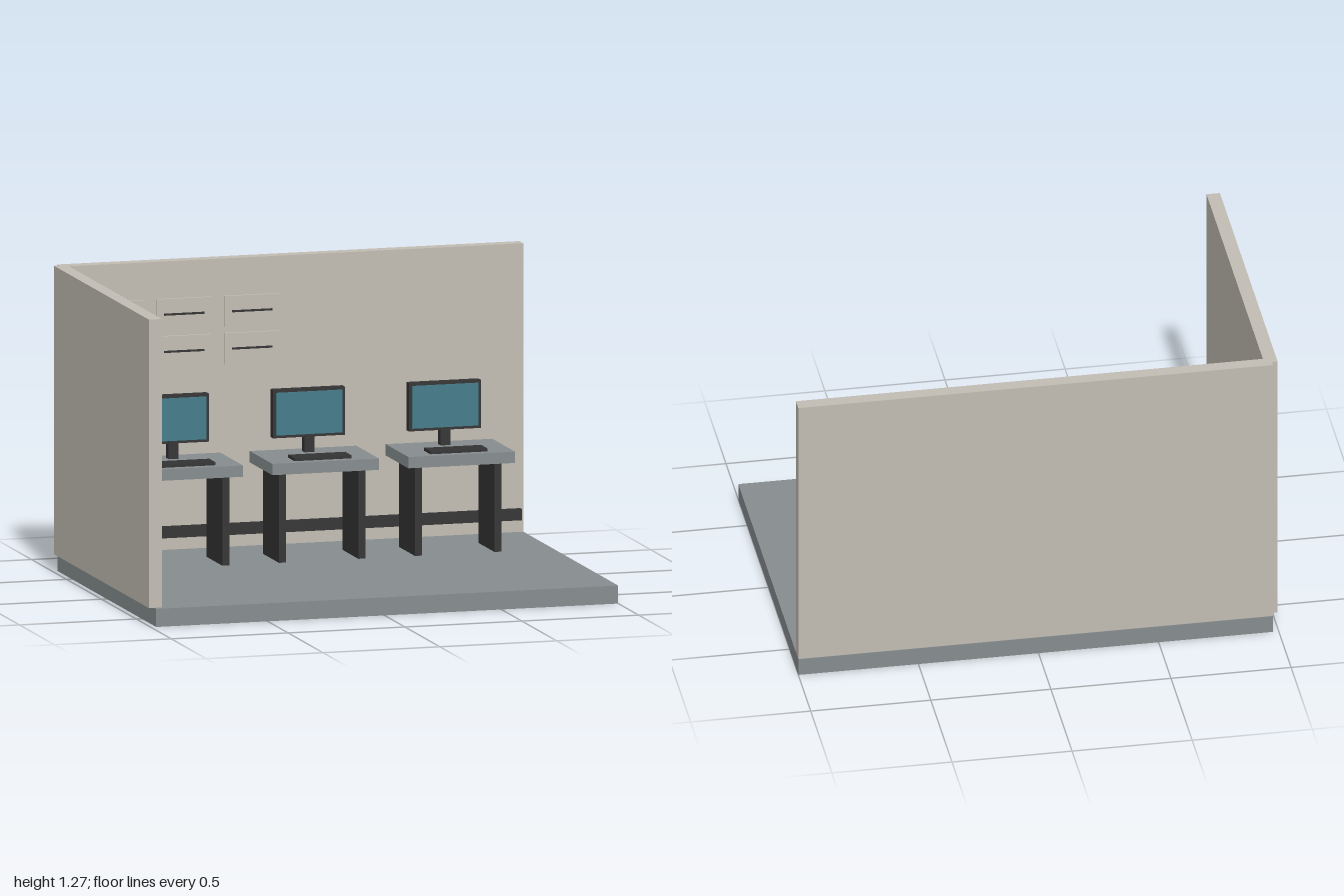
import * as THREE from 'three';

const material = (name, color) => {
  const m = new THREE.MeshStandardMaterial({ color });
  m.name = name;
  return m;
};

// Box given by its [min, max] extent on each axis
function block(parent, name, mat, [x0, x1], [y0, y1], [z0, z1]) {
  const mesh = new THREE.Mesh(new THREE.BoxGeometry(x1 - x0, y1 - y0, z1 - z0), mat);
  mesh.position.set((x0 + x1) / 2, (y0 + y1) / 2, (z0 + z1) / 2);
  mesh.name = name;
  parent.add(mesh);
  return mesh;
}

const around = (centre, size) => [centre - size / 2, centre + size / 2];

export function createModel() {
  const wall = material('warm wall', 0xc2bdb3);
  const grey = material('blue grey', 0x868d8f);
  const dark = material('charcoal', 0x333333);
  const teal = material('screen teal', 0x447b8a);

  const room = new THREE.Group();
  room.name = 'controlRoom';

  // Room shell
  block(room, 'floor', grey, [-0.977, 1], [0, 0.075], [-0.708, 0.708]);
  block(room, 'backWall', wall, [-0.977, 1], [0.075, 1.275], [-0.706, -0.65]);
  block(room, 'sideWall', wall, [-1, -0.944], [0.075, 1.275], [-0.682, 0.68]);
  block(room, 'wallRail', dark, [-0.943, 0.987], [0.127, 0.174], [-0.65, -0.627]);

  // Wall panels, two rows of three, each with a dark slot
  for (const y of [0.9, 1.055]) {
    for (const x of [-0.746, -0.455, -0.164]) {
      const panel = new THREE.Group();
      panel.name = 'wallPanel';
      block(panel, 'panelBoard', wall, around(x, 0.232), around(y, 0.13), [-0.65, -0.638]);
      block(panel, 'panelSlot', dark, around(x, 0.172), around(y + 0.001, 0.008), [-0.638, -0.632]);
      room.add(panel);
    }
  }

  // Workstations
  for (const x of [-0.573, 0.009, 0.591]) {
    const desk = new THREE.Group();
    desk.name = 'workstation';
    desk.position.x = x;
    block(desk, 'deskTop', grey, around(0, 0.456), [0.45, 0.497], [-0.49, -0.164]);
    for (const side of [-1, 1]) {
      block(desk, 'deskLeg', dark, around(side * 0.17, 0.03), [0.075, 0.45], [-0.44, -0.215]);
    }
    block(desk, 'keyboard', dark, around(0, 0.245), [0.497, 0.509], [-0.295, -0.202]);
    block(desk, 'monitorStand', dark, around(0, 0.042), [0.497, 0.57], [-0.437, -0.395]);
    block(desk, 'monitorCase', dark, around(0, 0.308), [0.56, 0.76], [-0.443, -0.404]);
    block(desk, 'screen', teal, around(0, 0.284), [0.572, 0.749], [-0.404, -0.396]);
    room.add(desk);
  }
  return room;
}
